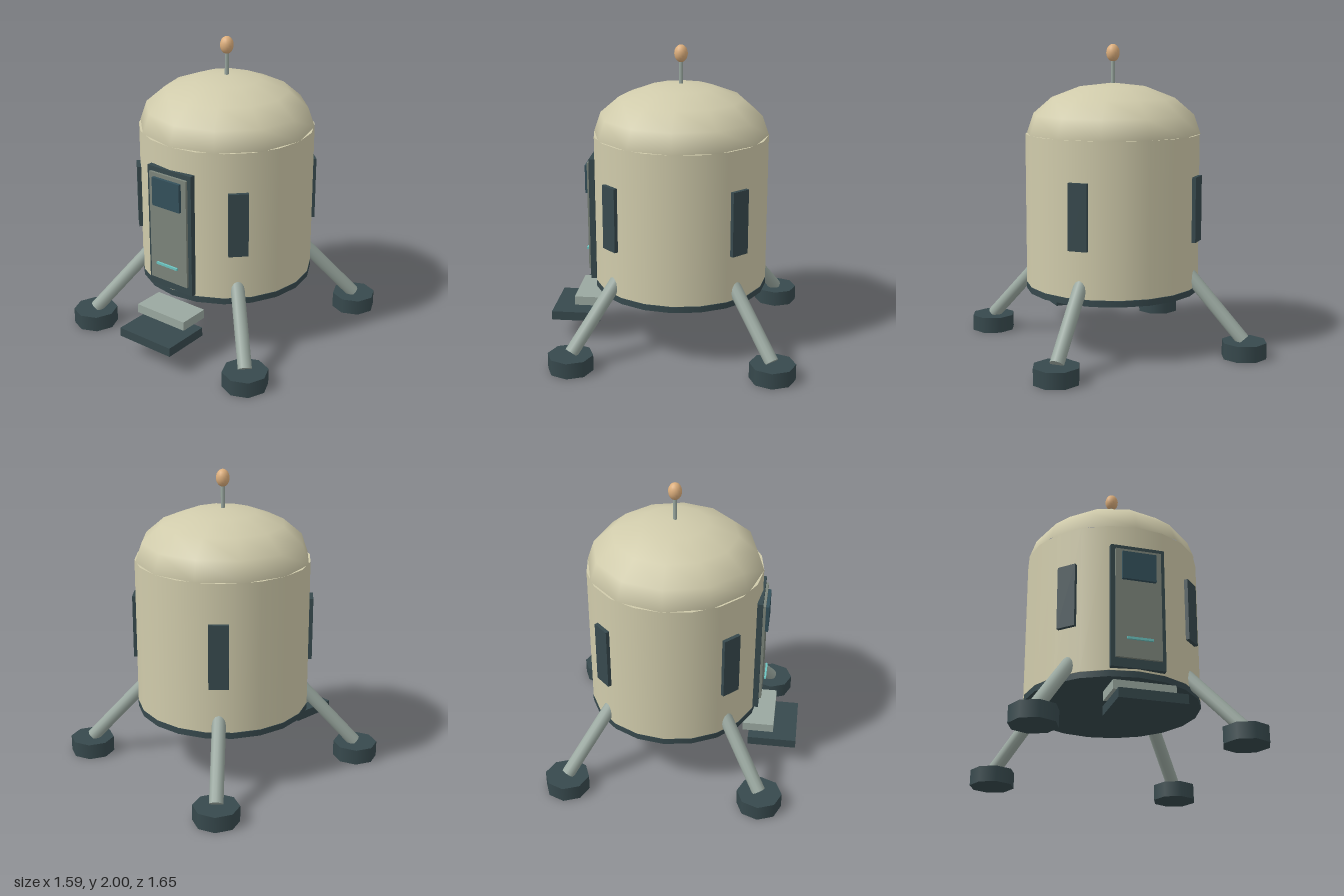
import * as THREE from 'three';

const paint = (color) => new THREE.MeshStandardMaterial({ color });

export function createModel() {
  const model = new THREE.Group();
  const shell = paint(0xd0cbab);
  const dark = paint(0x37494d);
  const metal = paint(0x9aa8a0);
  const panel = paint(0x7c857b);
  const glass = paint(0x34505b);
  const accent = paint(0x6cc4c0);
  const amber = paint(0xdcae7c);

  const add = (name, geometry, material, x, y, z, parent = model) => {
    const mesh = new THREE.Mesh(geometry, material);
    mesh.name = name;
    mesh.position.set(x, y, z);
    parent.add(mesh);
    return mesh;
  };
  const box = (name, material, w, [y0, y1], [z0, z1]) =>
    add(name, new THREE.BoxGeometry(w, y1 - y0, z1 - z0), material, 0, (y0 + y1) / 2, (z0 + z1) / 2);

  // Round cabin, its axis slightly behind the centre because of the steps
  const cabin = new THREE.Group();
  cabin.name = 'cabin';
  cabin.position.z = -0.03;
  model.add(cabin);
  const R = 0.575;
  add('hull', new THREE.CylinderGeometry(R, R, 0.99, 20), shell, 0, 0.925, 0, cabin);
  add('basePlate', new THREE.CylinderGeometry(R + 0.001, R + 0.001, 0.04, 20), dark, 0, 0.408, 0, cabin);
  const dome = new THREE.SphereGeometry(R, 12, 4, 0, Math.PI * 2, 0, Math.PI / 2);
  dome.scale(1, 0.33 / R, 1);
  dome.computeVertexNormals();
  add('dome', new THREE.SphereGeometry(R, 12, 4, 0, Math.PI * 2, 0, Math.PI / 2), shell, 0, 1.42, 0, cabin)
    .scale.y = 0.33 / R;

  // Antenna
  add('antennaMast', new THREE.CylinderGeometry(0.013, 0.013, 0.2, 8), metal, 0, 1.8, 0, cabin);
  add('antennaTip', new THREE.SphereGeometry(0.044, 16, 12), amber, 0, 1.943, 0, cabin).scale.y = 1.3;

  // Four diagonal windows and landing legs
  const footTop = new THREE.Vector3(0, 0.11, 0.64 * Math.SQRT2);
  const legTop = new THREE.Vector3(0, 0.54, 0.362 * Math.SQRT2);
  const axis = legTop.clone().sub(footTop);
  const middle = legTop.clone().add(footTop).multiplyScalar(0.5);
  for (let i = 0; i < 4; i++) {
    const corner = new THREE.Group();
    corner.name = 'corner' + (i + 1);
    corner.rotation.y = Math.PI / 4 + i * Math.PI / 2;
    cabin.add(corner);
    add('sideWindow', new THREE.BoxGeometry(0.127, 0.425, 0.025), dark, 0, 0.948, 0.582, corner);
    add('leg', new THREE.CylinderGeometry(0.045, 0.045, axis.length(), 12), metal, ...middle.toArray(), corner)
      .quaternion.setFromUnitVectors(new THREE.Vector3(0, 1, 0), axis.clone().normalize());
    add('footPad', new THREE.CylinderGeometry(0.148, 0.148, 0.105, 8), dark, 0, 0.0525, 0.645 * Math.SQRT2, corner);
  }

  // Door
  box('doorFrame', dark, 0.35, [0.442, 1.268], [0.52, 0.557]);
  box('doorPanel', panel, 0.296, [0.5, 1.236], [0.557, 0.574]);
  box('doorWindow', glass, 0.22, [1.02, 1.21], [0.574, 0.595]);
  box('doorHandle', accent, 0.168, [0.613, 0.628], [0.585, 0.598]);

  // Steps
  box('upperStep', metal, 0.39, [0.25, 0.31], [0.46, 0.67]);
  box('lowerStep', dark, 0.42, [0.14, 0.2], [0.5, 0.828]);

  return model;
}
